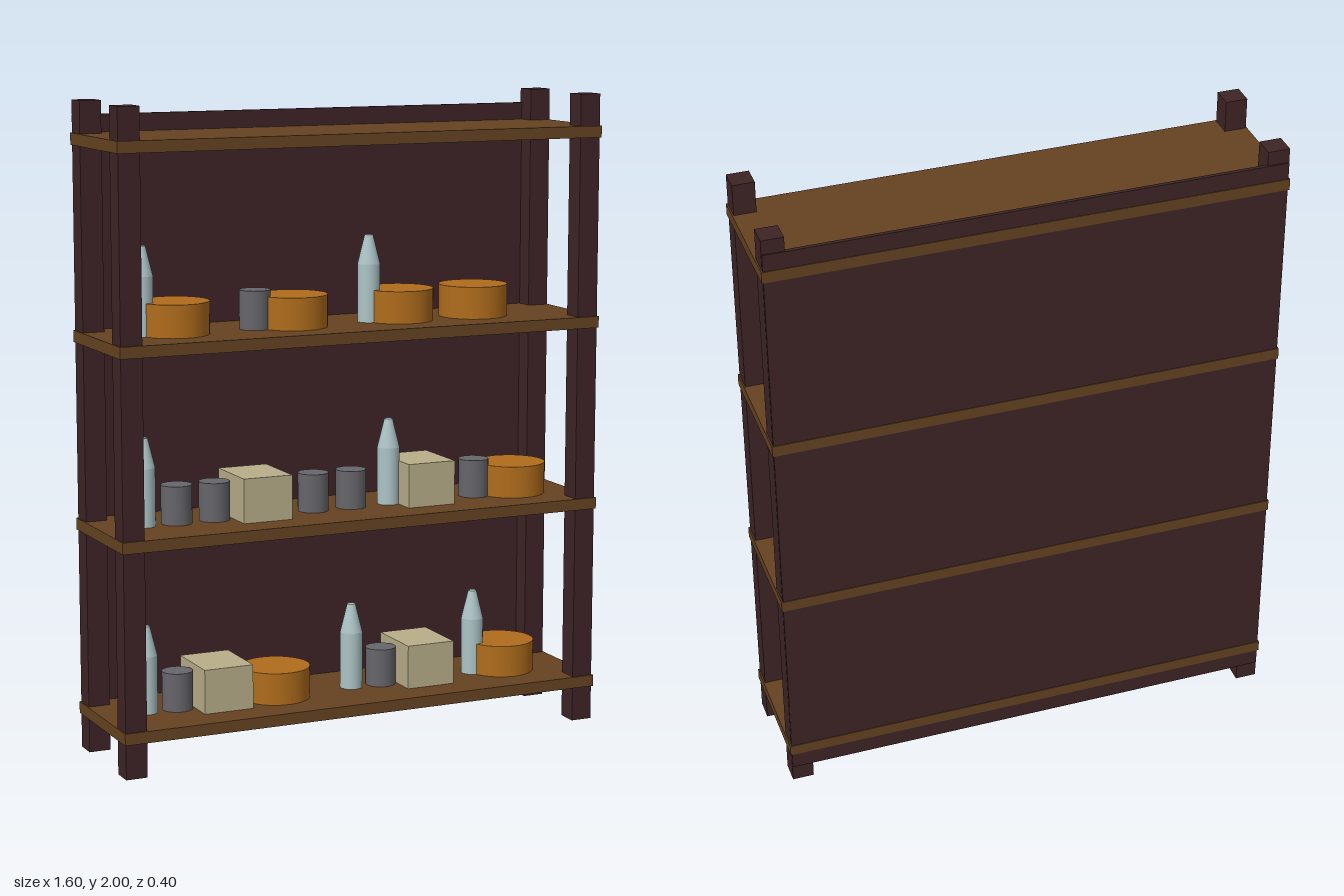
import * as THREE from 'three';

const mat = (name, color) => {
  const m = new THREE.MeshStandardMaterial({ color });
  m.name = name;
  return m;
};

export function createModel() {
  const frame = mat('dark frame wood', 0x3e2426);
  const board = mat('shelf wood', 0x654321);
  const glass = mat('pale glass', 0xadc4c6);
  const orange = mat('amber rind', 0xb06c1c);
  const metal = mat('grey tin', 0x66666b);
  const card = mat('beige card', 0xb9ae8a);

  const group = new THREE.Group();
  const add = (name, geo, material, x, y, z = 0) => {
    const mesh = new THREE.Mesh(geo, material);
    mesh.name = name;
    mesh.position.set(x, y, z);
    group.add(mesh);
  };

  // Corner posts
  const postGeo = new THREE.BoxGeometry(0.068, 2, 0.068);
  for (const x of [-0.762, 0.762])
    for (const z of [-0.16, 0.16])
      add(z > 0 ? 'frontPost' : 'backPost', postGeo, frame, x, 1, z);

  // Thin panel across the back
  add('backPanel', new THREE.BoxGeometry(1.59, 1.9, 0.012), frame, 0, 1.005, -0.192);

  // Shelf boards
  const boardGeo = new THREE.BoxGeometry(1.6, 0.036, 0.4);
  for (const y of [0.126, 0.707, 1.287, 1.883]) add('shelfBoard', boardGeo, board, 0, y);

  // Goods: each geometry stands on y = 0
  const bottleBody = new THREE.CylinderGeometry(0.035, 0.035, 0.18, 24).translate(0, 0.09, 0);
  const bottleNeck = new THREE.CylinderGeometry(0.013, 0.035, 0.09, 24).translate(0, 0.225, 0);
  const cheese = new THREE.CylinderGeometry(0.108, 0.108, 0.1, 32).translate(0, 0.05, 0);
  const tin = new THREE.CylinderGeometry(0.048, 0.048, 0.12, 24).translate(0, 0.06, 0);
  const carton = new THREE.BoxGeometry(0.16, 0.138, 0.2).translate(0, 0.069, 0);

  const place = {
    bottle: (x, y) => {
      add('bottleBody', bottleBody, glass, x, y);
      add('bottleNeck', bottleNeck, glass, x, y);
    },
    wheel: (x, y) => add('roundWheel', cheese, orange, x, y),
    tin: (x, y) => add('tin', tin, metal, x, y),
    carton: (x, y) => add('carton', carton, card, x, y),
  };

  // Contents of each shelf, as x positions
  const stock = [
    { y: 0.144, bottle: [-0.655, 0.036, 0.465], tin: [-0.553, 0.138], carton: [-0.423, 0.267], wheel: [-0.225, 0.566] },
    { y: 0.725, bottle: [-0.655, 0.164], tin: [-0.55, -0.426, -0.095, 0.034, 0.465], carton: [-0.29, 0.267], wheel: [0.6] },
    { y: 1.305, bottle: [-0.655, 0.095], tin: [-0.288], carton: [], wheel: [-0.552, -0.163, 0.198, 0.458] },
  ];
  for (const shelf of stock)
    for (const kind of Object.keys(place))
      for (const x of shelf[kind]) place[kind](x, shelf.y);

  return group;
}
